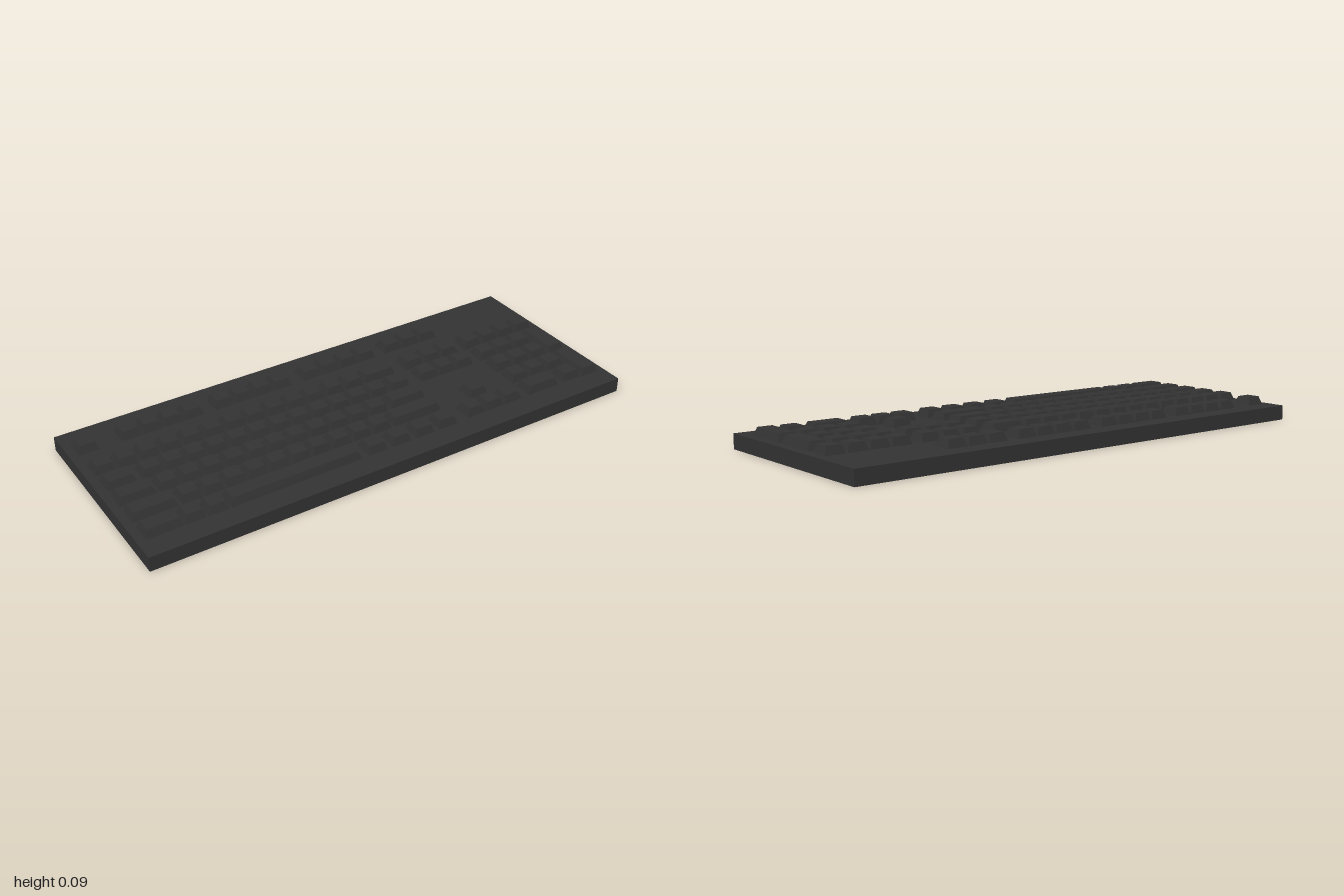
import * as THREE from 'three';

const CASE_TOP = 0.057, KEY_TOP = 0.088, INSET = 0.011, KEY = 0.08, PITCH = 0.0859;
const LEFT = -0.968, RIGHT = 0.289; // edges of the main key block
const Z = { top: -0.282, num: -0.133, upper: -0.03, home: 0.07, lower: 0.17, bottom: 0.274 };

const plastic = new THREE.MeshStandardMaterial({ color: 0x333333, flatShading: true });

// Tapered keycap: a box whose top corners are pulled inwards
function addKey(parent, name, x0, x1, z0, z1) {
  const w = x1 - x0, d = z1 - z0, h = KEY_TOP - CASE_TOP;
  const geo = new THREE.BoxGeometry(w, h, d);
  const p = geo.attributes.position;
  for (let i = 0; i < p.count; i++) {
    if (p.getY(i) < 0) continue;
    p.setX(i, p.getX(i) - Math.sign(p.getX(i)) * INSET);
    p.setZ(i, p.getZ(i) - Math.sign(p.getZ(i)) * INSET);
  }
  geo.computeVertexNormals();
  const key = new THREE.Mesh(geo, plastic);
  key.name = name;
  key.position.set((x0 + x1) / 2, CASE_TOP + h / 2, (z0 + z1) / 2);
  parent.add(key);
}

// One key of any width in a row
function wide(parent, name, z, x0, x1) {
  addKey(parent, name, x0, x1, z - 0.039, z + 0.039);
}

// A run of equal square keys
function run(parent, name, z, x0, count, pitch = PITCH) {
  for (let i = 0; i < count; i++) wide(parent, name, z, x0 + i * pitch, x0 + i * pitch + KEY);
}

function section(parent, name) {
  const g = new THREE.Group();
  g.name = name;
  parent.add(g);
  return g;
}

export function createModel() {
  const keyboard = new THREE.Group();
  keyboard.name = 'keyboard';

  // Case
  const body = new THREE.Mesh(new THREE.BoxGeometry(2, CASE_TOP, 0.8), plastic);
  body.name = 'case';
  body.position.y = CASE_TOP / 2;
  keyboard.add(body);

  // Top row: escape, three groups of four, three system keys
  const top = section(keyboard, 'topRow');
  run(top, 'escapeKey', Z.top, LEFT, 1);
  for (const x of [-0.802, -0.422, -0.037]) run(top, 'shortcutKey', Z.top, x, 4, 0.084);
  run(top, 'systemKey', Z.top, 0.342, 3, 0.0855);

  // Main block
  const main = section(keyboard, 'mainKeys');
  run(main, 'numberKey', Z.num, LEFT, 13);
  wide(main, 'backspaceKey', Z.num, 0.15, RIGHT);

  wide(main, 'tabKey', Z.upper, LEFT, -0.856);
  run(main, 'letterKey', Z.upper, -0.834, 12);
  wide(main, 'backslashKey', Z.upper, 0.203, RIGHT);

  wide(main, 'capsLockKey', Z.home, LEFT, -0.829);
  run(main, 'letterKey', Z.home, -0.818, 11);
  wide(main, 'enterKey', Z.home, 0.134, RIGHT);

  wide(main, 'leftShiftKey', Z.lower, LEFT, -0.797);
  run(main, 'letterKey', Z.lower, -0.786, 10);
  wide(main, 'rightShiftKey', Z.lower, 0.08, RIGHT);

  wide(main, 'controlKey', Z.bottom, LEFT, -0.829);
  run(main, 'modifierKey', Z.bottom, -0.824, 2);
  wide(main, 'spaceBar', Z.bottom, -0.652, -0.132);
  run(main, 'modifierKey', Z.bottom, -0.102, 4, 0.103);

  // Navigation and arrow keys
  const nav = section(keyboard, 'navigationKeys');
  for (const z of [Z.num, Z.upper]) run(nav, 'navigationKey', z, 0.342, 3, 0.0855);
  run(nav, 'arrowKey', Z.lower, 0.4275, 1);
  run(nav, 'arrowKey', 0.268, 0.342, 3, 0.0855);

  // Number pad
  const pad = section(keyboard, 'numberPad');
  run(pad, 'padKey', Z.num, 0.631, 4, 0.0855);
  for (const z of [Z.upper, Z.home, Z.lower]) run(pad, 'padKey', z, 0.631, 3, 0.0855);
  wide(pad, 'padZeroKey', 0.268, 0.631, 0.775);
  run(pad, 'padKey', 0.268, 0.802, 1);
  addKey(pad, 'padPlusKey', 0.888, 0.968, -0.067, 0.113);
  addKey(pad, 'padEnterKey', 0.888, 0.968, 0.132, 0.314);

  return keyboard;
}
